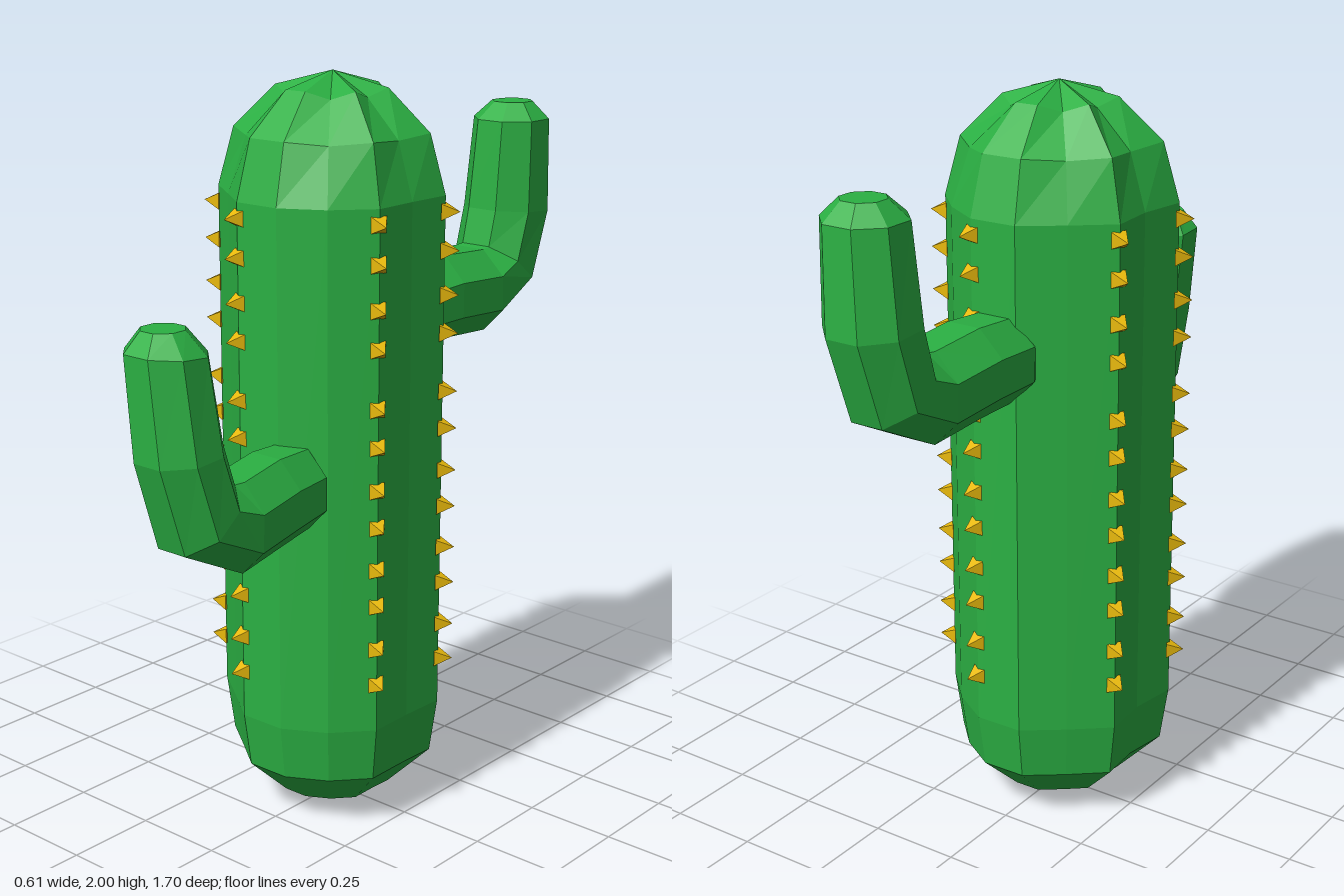
import * as THREE from 'three';

const V = (x, y, z) => new THREE.Vector3(x, y, z);
const green = new THREE.MeshStandardMaterial({ color: 0x2bb043, flatShading: true });
const yellow = new THREE.MeshStandardMaterial({ color: 0xe8b90c, flatShading: true });
const STEP = (Math.PI * 2) / 14;
const CENTRE_Z = 0.012;

// Skin a stack of rings and close both ends with a fan to a pole
function loft(rings, startPole, endPole) {
  const n = rings[0].length;
  const pts = [...rings.flat(), startPole, endPole];
  const s = pts.length - 2, e = pts.length - 1, last = (rings.length - 1) * n;
  const index = [];
  for (let j = 0; j < n; j++) {
    const k = (j + 1) % n;
    index.push(s, j, k, e, last + k, last + j);
    for (let i = 0; i < rings.length - 1; i++) {
      const a = i * n + j, b = i * n + k;
      index.push(a, a + n, b, b, a + n, b + n);
    }
  }
  const g = new THREE.BufferGeometry().setFromPoints(pts);
  g.setIndex(index);
  const flat = g.toNonIndexed();
  flat.computeVertexNormals();
  return flat;
}

// Uneven 14-sided trunk: radius of each corner, going from +x towards +z
const RADII = [0.262, 0.292, 0.285, 0.292, 0.294, 0.27, 0.308, 0.258, 0.297, 0.27, 0.295, 0.297, 0.283, 0.296];
const VALLEYS = [0, 2, 5, 7, 9, 12];

function trunk() {
  // height, radius scale, valley depth
  const profile = [
    [0.04, 0.54, 0], [0.15, 0.93, 0], [0.3, 1, 0], [1.69, 1, 0],
    [1.845, 0.86, 0.04], [1.955, 0.49, 0.1],
  ];
  const rings = profile.map(([y, scale, dip]) => RADII.map((r, k) => {
    const d = VALLEYS.includes(k) ? dip : 0;
    const rad = r * scale * (1 - d);
    return V(Math.cos(k * STEP) * rad, y - d * 0.2, Math.sin(k * STEP) * rad + CENTRE_Z);
  }));
  return loft(rings, V(0, 0, CENTRE_Z), V(0, 1.995, CENTRE_Z));
}

// Octagonal bent limb; each station is x, y, z, radius, lean of the ring in the yz plane
function limb(stations, dir) {
  const rings = stations.map(([x, y, z, r, lean]) => {
    const t = V(0, Math.sin(lean), Math.cos(lean) * dir);
    const u = V(1, 0, 0);
    const v = u.clone().cross(t);
    return Array.from({ length: 8 }, (_, j) => {
      const a = ((j + 0.5) * Math.PI) / 4;
      return V(x, y, z).addScaledVector(u, Math.cos(a) * r).addScaledVector(v, Math.sin(a) * r);
    });
  });
  const pole = (p) => V(p[0], p[1], p[2]);
  return loft(rings, pole(stations[0]), pole(stations[stations.length - 1]));
}

export function createModel() {
  const model = new THREE.Group();
  const add = (geometry, material, name, parent = model) => {
    const mesh = new THREE.Mesh(geometry, material);
    mesh.name = name;
    parent.add(mesh);
    return mesh;
  };

  add(trunk(), green, 'trunk');

  // Front arm drifts to the model's left before turning up
  const up = Math.PI / 2;
  add(limb([
    [0.085, 0.97, 0.225, 0.08, 0],
    [0.09, 0.975, 0.26, 0.115, 0],
    [0.12, 0.98, 0.4, 0.124, 0],
    [0.165, 0.975, 0.58, 0.124, 0.05],
    [0.17, 1.025, 0.695, 0.117, 0.9],
    [0.165, 1.19, 0.743, 0.112, 1.5],
    [0.14, 1.43, 0.752, 0.104, 1.65],
    [0.13, 1.485, 0.75, 0.056, up],
  ], 1), green, 'frontArm');

  // Back arm sits higher and runs straight back
  add(limb([
    [0, 1.34, -0.2, 0.09, 0],
    [0, 1.34, -0.26, 0.12, 0],
    [0, 1.345, -0.4, 0.126, 0],
    [0, 1.335, -0.58, 0.126, 0.05],
    [0, 1.385, -0.69, 0.12, 0.9],
    [0.005, 1.545, -0.735, 0.122, 1.5],
    [0.015, 1.8, -0.737, 0.108, up],
    [0.015, 1.847, -0.74, 0.058, up],
  ], -1), green, 'backArm');

  // Six columns of little pyramid spines, in pairs up each ridge
  const spines = new THREE.Group();
  spines.name = 'spines';
  model.add(spines);
  const spine = new THREE.ConeGeometry(0.03, 0.045, 4).rotateY(Math.PI / 4);
  const heights = [0.43, 0.53, 0.65, 0.75, 0.865, 0.965, 1.08, 1.18, 1.335, 1.435, 1.55, 1.65];
  for (const k of [1, 4, 6, 8, 11, 13]) {
    const c = Math.cos(k * STEP), s = Math.sin(k * STEP), r = RADII[k] + 0.016;
    for (const y of heights) {
      const mesh = add(spine, yellow, 'spine', spines);
      mesh.position.set(c * r, y, s * r + CENTRE_Z);
      mesh.rotation.set(0, -k * STEP, -Math.PI / 2);
    }
  }
  return model;
}
